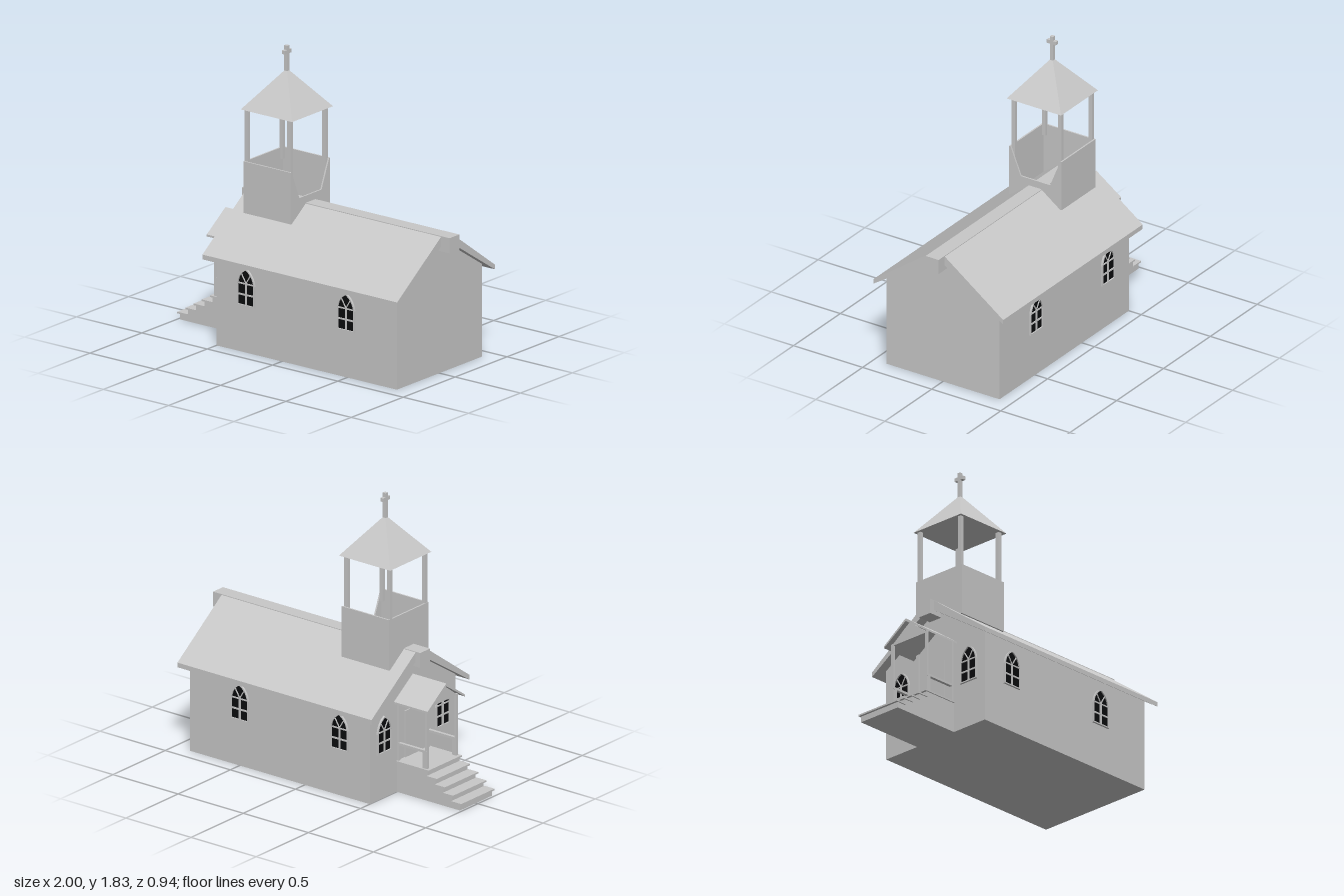
import * as THREE from 'three';

export function createModel() {
  const model = new THREE.Group();
  const grey = new THREE.MeshStandardMaterial({ color: 0xc8c8c8, side: THREE.DoubleSide });
  grey.name = 'stoneGrey';
  const black = new THREE.MeshStandardMaterial({ color: 0x0b0c0e });
  black.name = 'glassBlack';

  const add = (name, geo, parent = model, mat = grey) => {
    const m = new THREE.Mesh(geo, mat);
    m.name = name;
    parent.add(m);
    return m;
  };
  // box from its minimum and maximum corners
  const box = (name, x0, x1, y0, y1, z0, z1, parent = model) =>
    add(name, new THREE.BoxGeometry(x1 - x0, y1 - y0, z1 - z0)
      .translate((x0 + x1) / 2, (y0 + y1) / 2, (z0 + z1) / 2), parent);
  // (z, y) outline extruded along x
  const prism = (name, pts, x0, x1, parent = model) => {
    const shape = new THREE.Shape(pts.map(p => new THREE.Vector2(p[0], p[1])));
    const geo = new THREE.ExtrudeGeometry(shape, { depth: x1 - x0, bevelEnabled: false });
    return add(name, geo.rotateY(-Math.PI / 2).translate(x1, 0, 0), parent);
  };

  // nave with gabled ends
  prism('naveWalls', [[-0.41, 0], [0.41, 0], [0.41, 0.59], [0, 0.875], [-0.41, 0.59]], -0.5, 0.88);

  // roof slabs and ridge beam
  for (const s of [1, -1]) {
    prism('roofSlope', [[0, 0.878], [0.0 + s * 0.045, 0.882], [s * 0.47, 0.575],
      [s * 0.47, 0.545], [0, 0.85]], -0.56, 0.93);
  }
  box('ridgeBeam', -0.595, 0.995, 0.79, 0.885, -0.047, 0.047);

  // pointed windows
  const arch = (Type, w, y0, spring, top) => {
    const p = new Type();
    p.moveTo(-w, y0);
    p.lineTo(w, y0);
    p.lineTo(w, spring);
    p.quadraticCurveTo(w * 0.85, spring + (top - spring) * 0.7, 0, top);
    p.quadraticCurveTo(-w * 0.85, spring + (top - spring) * 0.7, -w, spring);
    return p;
  };
  const addWindow = (x, z, turn) => {
    const g = new THREE.Group();
    g.name = 'window';
    add('glass', new THREE.ShapeGeometry(arch(THREE.Shape, 0.066, 0.003, 0.135, 0.232)).translate(0, 0, 0.003), g, black);
    const rim = arch(THREE.Shape, 0.068, 0, 0.135, 0.237);
    rim.holes.push(arch(THREE.Path, 0.06, 0.008, 0.135, 0.226));
    add('windowFrame', new THREE.ExtrudeGeometry(rim, { depth: 0.012, bevelEnabled: false }), g);
    box('mullion', -0.006, 0.006, 0.005, 0.15, 0, 0.009, g);
    box('lowerBar', -0.062, 0.062, 0.066, 0.076, 0, 0.009, g);
    box('upperBar', -0.06, 0.06, 0.136, 0.144, 0, 0.009, g);
    // fan tracery in the arch
    for (const s of [1, -1]) {
      const bar = box('tracery', -0.003, 0.003, 0, 0.068, 0, 0.008, g);
      bar.position.set(0, 0.143, 0);
      bar.rotation.z = s * 0.55;
    }
    g.position.set(x, 0.294, z);
    g.rotation.y = turn;
    model.add(g);
  };
  for (const x of [-0.27, 0.495]) {
    addWindow(x, 0.41, 0);
    addWindow(x, -0.41, Math.PI);
  }
  for (const z of [-0.28, 0.28]) addWindow(-0.5, z, -Math.PI / 2);

  // belfry: hollow box, notched on the side facing along the ridge
  const tower = new THREE.Group();
  tower.name = 'belfry';
  model.add(tower);
  for (const s of [1, -1]) {
    box('belfrySideWall', -0.47, -0.107, 0.785, 1.11, s * 0.185 - 0.005, s * 0.185 + 0.005, tower);
  }
  box('belfryEntranceWall', -0.47, -0.46, 0.785, 1.11, -0.18, 0.18, tower);
  prism('belfryNotchedWall', [[-0.18, 0.785], [0.18, 0.785], [0.18, 1.11],
    [0.107, 0.93], [-0.107, 0.93], [-0.18, 1.11]], -0.117, -0.107, tower);
  for (const x of [-0.457, -0.13]) {
    for (const z of [-0.168, 0.168]) {
      box('belfryPost', x - 0.012, x + 0.012, 1.04, 1.44, z - 0.012, z + 0.012, tower);
    }
  }
  const spire = new THREE.ConeGeometry(0.197 * Math.SQRT2, 0.25, 4).toNonIndexed();
  spire.rotateY(Math.PI / 4).translate(-0.288, 1.56, 0);
  spire.computeVertexNormals();
  add('belfryRoof', spire, tower);
  box('crossUpright', -0.3, -0.277, 1.66, 1.83, -0.011, 0.011, tower);
  box('crossArm', -0.3, -0.277, 1.78, 1.803, -0.033, 0.033, tower);

  // stairs: solid base steps with overhanging treads
  const porch = new THREE.Group();
  porch.name = 'porch';
  model.add(porch);
  for (let i = 0; i < 5; i++) {
    const x = -0.985 + i * 0.0625, top = 0.047 + i * 0.0385;
    const end = i < 4 ? x + 0.0625 : -0.5;
    box('stepBase', x, end, 0, top - 0.01, -0.153, 0.153, porch);
    box('stepTread', x - 0.015, end, top - 0.01, top, -0.16, 0.16, porch);
  }

  // porch posts and railings
  for (const s of [1, -1]) {
    const z = s * 0.14;
    box('porchPost', -0.728, -0.714, 0.2, 0.6, z - 0.009, z + 0.009, porch);
    box('railPost', -0.714, -0.696, 0.2, 0.303, z - 0.009, z + 0.009, porch);
    box('wallPost', -0.512, -0.5, 0.2, 0.6, z - 0.009, z + 0.009, porch);
    box('handRail', -0.728, -0.5, 0.302, 0.317, z - 0.01, z + 0.01, porch);
    prism('porchRoofSlope', [[0, 0.715], [s * 0.18, 0.588], [s * 0.18, 0.575], [0, 0.697]], -0.758, -0.5, porch);
  }
  prism('porchGable', [[-0.15, 0.588], [0.15, 0.588], [0, 0.7]], -0.725, -0.715, porch);

  // plain door behind the porch
  box('door', -0.507, -0.499, 0.2, 0.5, -0.08, 0.08, porch);

  return model;
}
